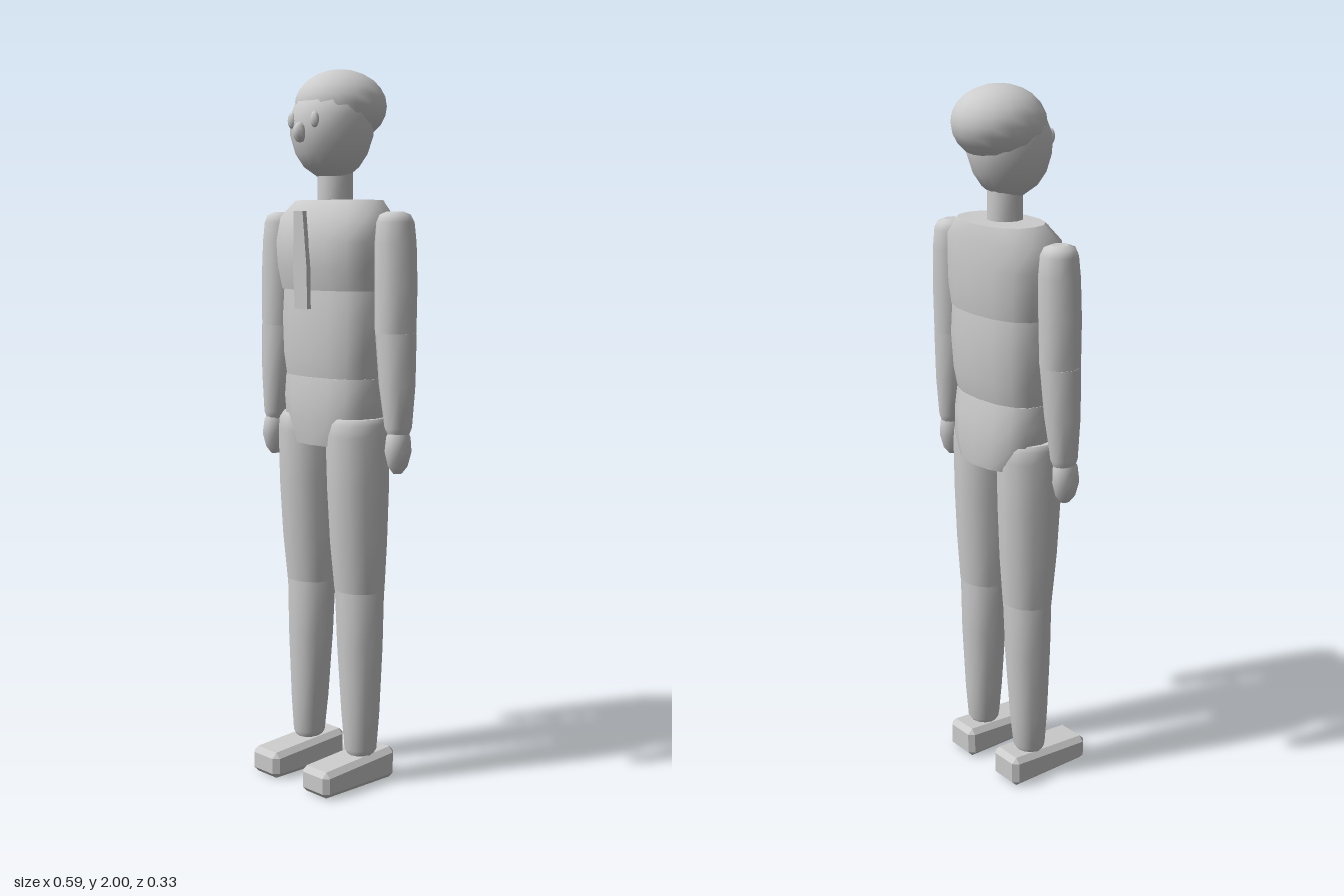
import * as THREE from 'three';
import { ConvexGeometry } from 'three/addons/geometries/ConvexGeometry.js';

// Closed loft through elliptical rings [y, centreX, centreZ, radiusX, radiusZ], bottom to top.
function loft(rings, segments, power = 1) {
  const pos = [], index = [];
  const addRing = ([y, cx, cz, rx, rz]) => {
    const start = pos.length / 3;
    for (let j = 0; j < segments; j++) {
      const a = (j / segments) * Math.PI * 2;
      const c = Math.cos(a), s = Math.sin(a);
      pos.push(
        cx + rx * Math.sign(c) * Math.abs(c) ** power, y,
        cz + rz * Math.sign(s) * Math.abs(s) ** power);
    }
    return start;
  };
  const starts = rings.map(addRing);
  for (let i = 0; i < rings.length - 1; i++) {
    for (let j = 0; j < segments; j++) {
      const k = (j + 1) % segments;
      const a = starts[i] + j, b = starts[i] + k, c = starts[i + 1] + j, d = starts[i + 1] + k;
      index.push(a, c, b, b, c, d);
    }
  }
  // Flat end caps with their own vertices
  for (const [ring, top] of [[rings[0], false], [rings[rings.length - 1], true]]) {
    const s = addRing(ring);
    const centre = pos.length / 3;
    pos.push(ring[1], ring[0], ring[2]);
    for (let j = 0; j < segments; j++) {
      const a = s + j, b = s + (j + 1) % segments;
      if (top) index.push(centre, b, a);
      else index.push(centre, a, b);
    }
  }
  const g = new THREE.BufferGeometry();
  g.setAttribute('position', new THREE.Float32BufferAttribute(pos, 3));
  g.setIndex(index);
  g.computeVertexNormals();
  return g;
}

function ellipsoid(x, y, z, rx, ry, rz, w = 12, h = 8) {
  return new THREE.SphereGeometry(1, w, h).scale(rx, ry, rz).translate(x, y, z);
}

// Bevelled block whose top slopes down towards the toe.
function footGeometry(cx) {
  const x = 0.055, z = 0.138, cz = 0.028, b = 0.015, points = [];
  for (const sx of [-1, 1]) for (const sy of [0, 1]) for (const sz of [-1, 1]) {
    const height = sz > 0 ? 0.075 : 0.091;
    const y = sy * height, inY = sy ? height - b : b;
    points.push(
      new THREE.Vector3(cx + sx * (x - b), y, cz + sz * (z - b)),
      new THREE.Vector3(cx + sx * x, inY, cz + sz * (z - b)),
      new THREE.Vector3(cx + sx * (x - b), inY, cz + sz * z));
  }
  return new ConvexGeometry(points);
}

export function createModel() {
  const model = new THREE.Group();
  model.name = 'standingFigure';
  const grey = new THREE.MeshStandardMaterial({ color: 0xcccccc });
  grey.name = 'light grey';
  const add = (name, geometry) => {
    const mesh = new THREE.Mesh(geometry, grey);
    mesh.name = name;
    model.add(mesh);
    return mesh;
  };

  // Torso
  add('chest', loft([
    [1.40, 0, -0.02, 0.18, 0.108],
    [1.46, 0, -0.017, 0.188, 0.119],
    [1.53, 0, -0.015, 0.192, 0.121],
    [1.60, 0, -0.022, 0.188, 0.112],
    [1.645, 0, -0.033, 0.14, 0.092],
  ], 16, 0.85));
  add('waist', loft([
    [1.16, 0, -0.018, 0.164, 0.098],
    [1.22, 0, -0.02, 0.172, 0.108],
    [1.32, 0, -0.022, 0.178, 0.111],
    [1.40, 0, -0.022, 0.175, 0.106],
  ], 16, 0.85));
  add('pelvis', loft([
    [0.97, 0, -0.025, 0.135, 0.104],
    [1.03, 0, -0.023, 0.16, 0.11],
    [1.10, 0, -0.02, 0.168, 0.108],
    [1.16, 0, -0.018, 0.166, 0.1],
  ], 16, 0.85));

  // Neck and head
  add('neck', loft([[1.62, 0, -0.018, 0.05, 0.05], [1.74, 0, -0.018, 0.05, 0.05]], 10));
  add('head', loft([
    [1.71, 0, -0.008, 0.045, 0.042],
    [1.735, 0, -0.004, 0.076, 0.076],
    [1.77, 0, -0.004, 0.098, 0.1],
    [1.82, 0, -0.005, 0.114, 0.115],
    [1.87, 0, -0.006, 0.117, 0.115],
    [1.91, 0, -0.01, 0.107, 0.1],
    [1.94, 0, -0.015, 0.085, 0.08],
    [1.965, 0, -0.02, 0.05, 0.045],
  ], 16));
  add('hair', ellipsoid(0, 1.9, -0.038, 0.125, 0.1, 0.13, 16, 12));
  add('nose', ellipsoid(0, 1.825, 0.112, 0.017, 0.028, 0.021, 8, 6));

  // Chest strip
  const strip = new THREE.Shape();
  strip.moveTo(-0.025, 1.35);
  strip.lineTo(0.025, 1.35);
  strip.lineTo(0.028, 1.46);
  strip.lineTo(0.018, 1.615);
  strip.lineTo(-0.018, 1.615);
  strip.lineTo(-0.028, 1.46);
  const stripGeometry = new THREE.ExtrudeGeometry(strip, { depth: 0.014, bevelEnabled: false });
  stripGeometry.translate(0, -1.48, 0).rotateX(0.035).translate(0, 1.48, 0.101);
  add('tie', stripGeometry);

  // Paired parts
  for (const [s, side] of [[1, 'left'], [-1, 'right']]) {
    add(side + 'Eye', ellipsoid(s * 0.046, 1.858, 0.1, 0.014, 0.022, 0.01, 8, 6));
    add(side + 'UpperArm', loft([
      [1.29, s * 0.235, -0.021, 0.057, 0.056],
      [1.42, s * 0.234, -0.022, 0.059, 0.058],
      [1.53, s * 0.231, -0.023, 0.056, 0.058],
      [1.585, s * 0.23, -0.023, 0.05, 0.054],
      [1.605, s * 0.23, -0.022, 0.041, 0.044],
      [1.613, s * 0.23, -0.022, 0.022, 0.025],
    ], 10));
    add(side + 'Forearm', loft([
      [1.015, s * 0.252, -0.017, 0.027, 0.032],
      [1.035, s * 0.251, -0.017, 0.036, 0.04],
      [1.15, s * 0.244, -0.019, 0.05, 0.05],
      [1.29, s * 0.236, -0.021, 0.057, 0.056],
    ], 10));
    add(side + 'Hand', loft([
      [0.91, s * 0.254, -0.013, 0.01, 0.014],
      [0.93, s * 0.254, -0.013, 0.025, 0.03],
      [0.97, s * 0.255, -0.013, 0.034, 0.041],
      [1.01, s * 0.254, -0.015, 0.03, 0.038],
      [1.035, s * 0.253, -0.016, 0.018, 0.022],
    ], 10));
    add(side + 'Thigh', loft([
      [0.56, s * 0.1, -0.018, 0.076, 0.069],
      [0.7, s * 0.1, -0.015, 0.083, 0.082],
      [0.85, s * 0.1, -0.013, 0.087, 0.09],
      [1.0, s * 0.099, -0.012, 0.088, 0.094],
      [1.035, s * 0.099, -0.012, 0.086, 0.09],
      [1.05, s * 0.099, -0.012, 0.076, 0.08],
    ], 12));
    add(side + 'Shin', loft([
      [0.08, s * 0.11, -0.015, 0.036, 0.036],
      [0.1, s * 0.109, -0.016, 0.047, 0.047],
      [0.2, s * 0.107, -0.017, 0.056, 0.055],
      [0.4, s * 0.103, -0.018, 0.068, 0.065],
      [0.56, s * 0.1, -0.018, 0.075, 0.068],
    ], 12));
    add(side + 'Foot', footGeometry(s * 0.106));
  }
  return model;
}
